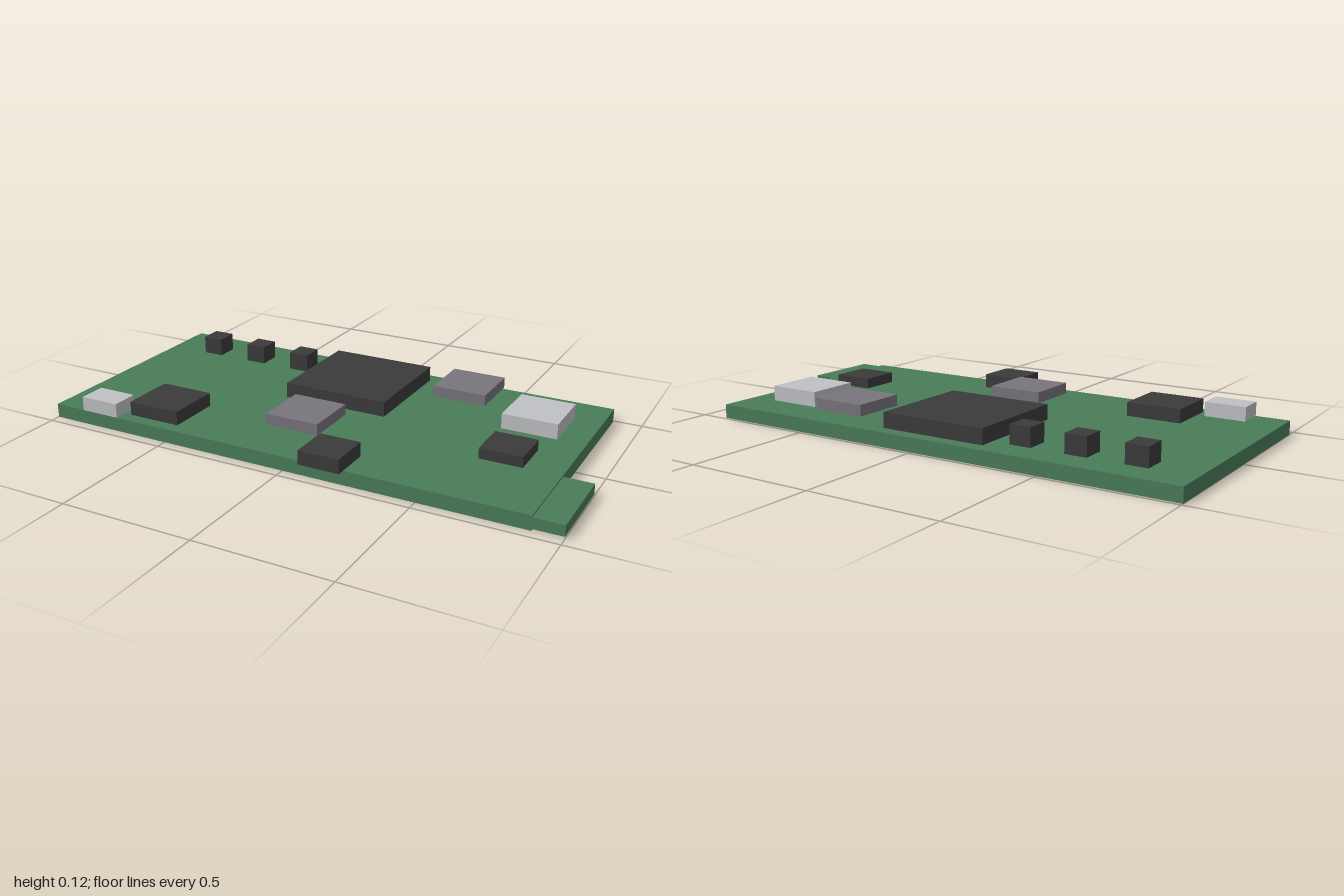
import * as THREE from 'three';

const mat = (name, color) => {
  const m = new THREE.MeshStandardMaterial({ color });
  m.name = name;
  return m;
};

export function createModel() {
  const green = mat('board green', 0x4a7c59);
  const dark = mat('chip black', 0x3c3b3c);
  const gray = mat('chip gray', 0x78757c);
  const silver = mat('metal silver', 0xc0c1c4);

  const model = new THREE.Group();
  model.name = 'circuitBoard';

  // Box given by its extents along each axis
  const block = (name, material, [x0, x1], [y0, y1], [z0, z1]) => {
    const mesh = new THREE.Mesh(new THREE.BoxGeometry(x1 - x0, y1 - y0, z1 - z0), material);
    mesh.position.set((x0 + x1) / 2, (y0 + y1) / 2, (z0 + z1) / 2);
    mesh.name = name;
    model.add(mesh);
  };

  const top = 0.053;

  // Board and its edge tab
  block('board', green, [-1, 0.893], [0, top], [-0.488, 0.46]);
  block('edgeTab', green, [0.893, 1], [0.007, 0.047], [0.145, 0.46]);

  // Dark chips
  block('processor', dark, [-0.262, 0.156], [top, 0.111], [-0.436, -0.014]);
  block('leftChip', dark, [-0.685, -0.475], [top, 0.105], [0.2, 0.411]);
  block('frontChip', dark, [0.079, 0.236], [top, 0.106], [0.33, 0.488]);
  block('rightChip', dark, [0.603, 0.761], [0.06, 0.1], [0.014, 0.171]);

  // Row of small components along the back
  [-0.795, -0.58, -0.371].forEach((x, i) =>
    block(`capacitor${i + 1}`, dark, [x - 0.041, x + 0.041], [top, 0.123], [-0.377, -0.289]));

  // Gray chips, raised slightly above the board
  block('backMemoryChip', gray, [0.261, 0.471], [0.08, 0.122], [-0.436, -0.226]);
  block('frontMemoryChip', gray, [-0.16, 0.05], [0.08, 0.122], [0.092, 0.302]);

  // Silver connectors
  block('shieldCan', silver, [0.577, 0.787], [top, 0.111], [-0.331, -0.119]);
  block('frontConnector', silver, [-0.871, -0.714], [top, 0.107], [0.354, 0.46]);

  return model;
}
